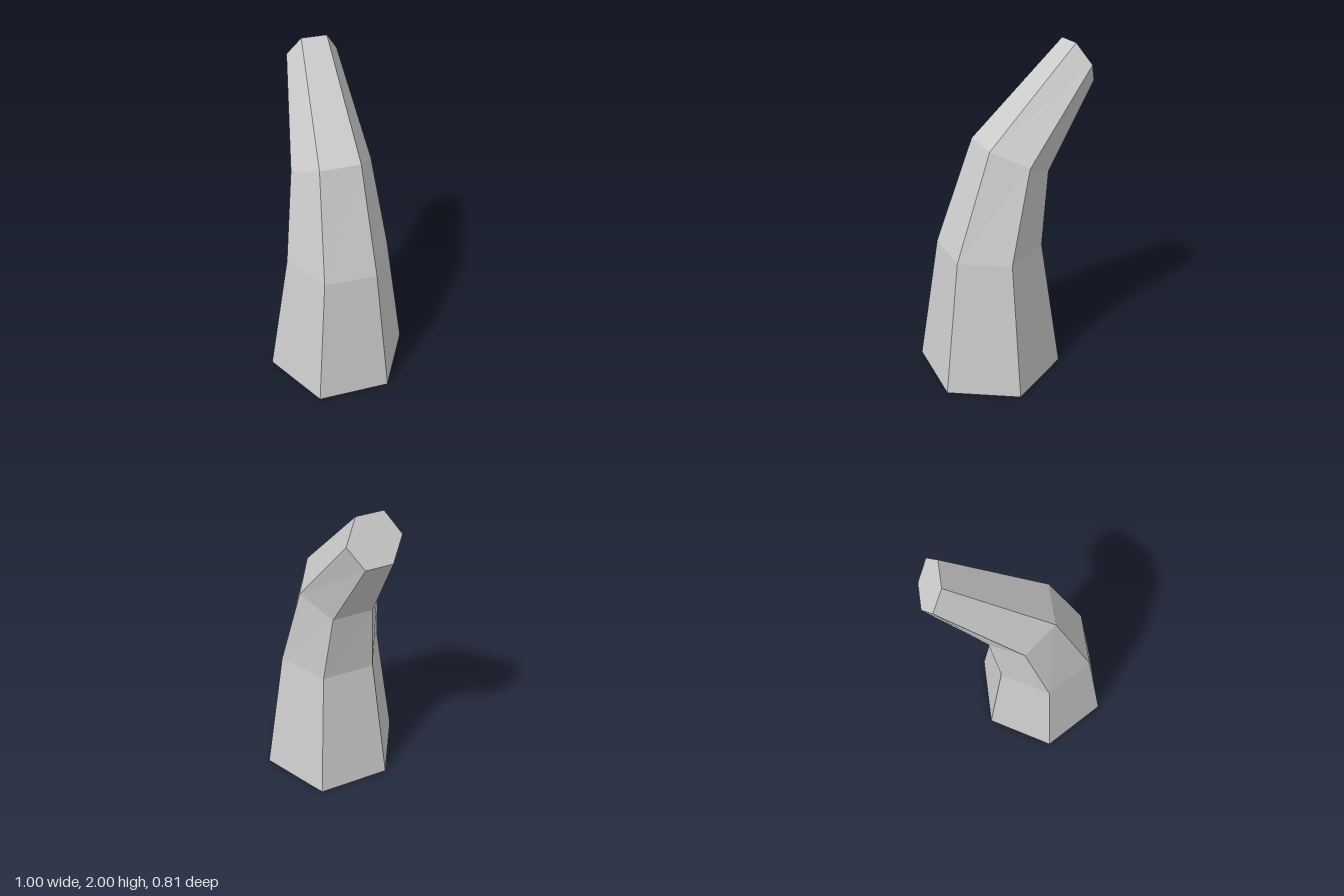
import * as THREE from 'three';

// Hexagonal cross-sections: centre, then the spokes to the first two corners.
const SECTIONS = [
  { c: [0.06, 0, 0.013], a: [0.443, 0, 0.013], b: [0.21, 0, 0.392] },
  { c: [0.06, 0.84, 0.013], a: [0.312, 0, 0.009], b: [0.148, 0, 0.276] },
  { c: [-0.056, 1.38, -0.057], a: [0.217, 0.09, -0.005], b: [0.096, 0.09, 0.2] },
  { c: [-0.411, 1.888, -0.279], a: [0.091, 0.112, -0.03], b: [0.016, 0.112, 0.098] },
];

// The remaining corners of a regular hexagon follow from two neighbouring spokes.
function hexagon({ c, a, b }) {
  const centre = new THREE.Vector3(...c);
  const p = new THREE.Vector3(...a);
  const q = new THREE.Vector3(...b);
  const r = q.clone().sub(p);
  return [p, q, r, p.clone().negate(), q.clone().negate(), r.clone().negate()]
    .map((spoke) => spoke.add(centre));
}

function toMesh(name, points) {
  const geometry = new THREE.BufferGeometry().setFromPoints(points);
  geometry.computeVertexNormals();
  const material = new THREE.MeshStandardMaterial({
    color: 0xcccccc, flatShading: true, side: THREE.DoubleSide,
  });
  const mesh = new THREE.Mesh(geometry, material);
  mesh.name = name;
  return mesh;
}

export function createModel() {
  const group = new THREE.Group();
  group.name = 'bentHorn';
  const rings = SECTIONS.map(hexagon);

  // Tapering, bending wall, open at the base
  const wall = [];
  for (let k = 0; k < rings.length - 1; k++) {
    const low = rings[k], up = rings[k + 1];
    for (let i = 0; i < 6; i++) {
      const j = (i + 1) % 6;
      wall.push(low[j], low[i], up[i], low[j], up[i], up[j]);
    }
  }
  group.add(toMesh('hornWall', wall));

  // Flat slanted tip
  const tip = rings[rings.length - 1];
  const cap = [];
  for (let i = 1; i < 5; i++) cap.push(tip[0], tip[i + 1], tip[i]);
  group.add(toMesh('hornTip', cap));

  return group;
}
